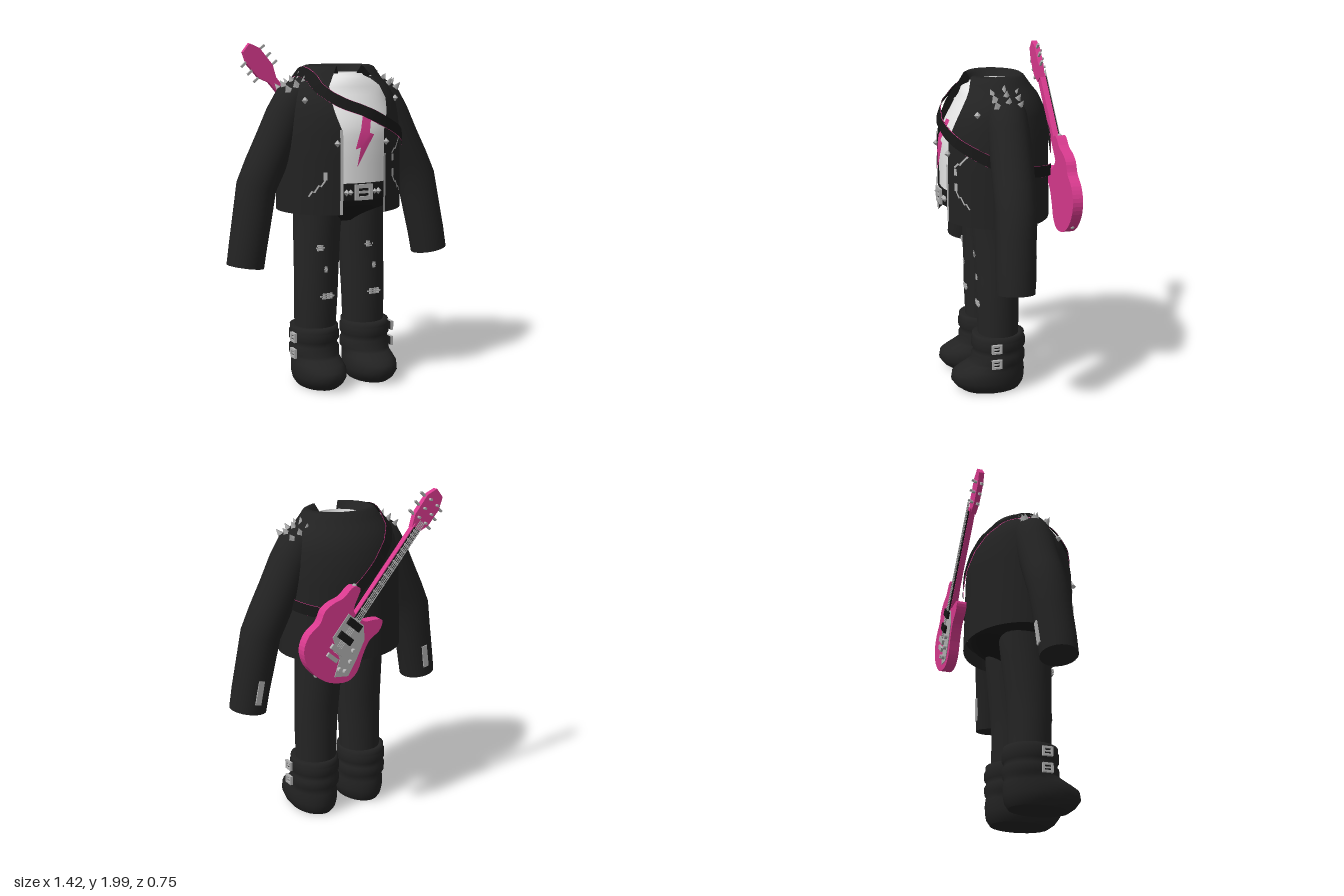
import * as THREE from 'three';

const mat = (name, color, side = THREE.FrontSide) => {
  const m = new THREE.MeshStandardMaterial({ color, side });
  m.name = name;
  return m;
};
const leather = mat('black leather', 0x222222, THREE.DoubleSide);
const denim = mat('black denim', 0x242424, THREE.DoubleSide);
const dark = mat('deep black', 0x171717, THREE.DoubleSide);
const white = mat('white cotton', 0xe4e4e4, THREE.DoubleSide);
const pink = mat('hot pink', 0xd83a8e, THREE.DoubleSide);
const silver = mat('silver', 0xb0b0b0, THREE.DoubleSide);

const V = (x, y, z) => new THREE.Vector3(x, y, z);

export function createModel() {
  const root = new THREE.Group();
  root.name = 'rockOutfit';

  const add = (name, geo, material, parent = root, x = 0, y = 0, z = 0) => {
    const m = new THREE.Mesh(geo, material);
    m.name = name;
    m.position.set(x, y, z);
    parent.add(m);
    return m;
  };
  const box = (name, material, parent, w, h, d, x, y, z) =>
    add(name, new THREE.BoxGeometry(w, h, d), material, parent, x, y, z);

  // Skin over rings of points; rings run upward, points counterclockwise from above
  function loft(rings, closed = true, caps = false) {
    const n = rings[0].length, pos = [], idx = [];
    rings.forEach(r => r.forEach(p => pos.push(p.x, p.y, p.z)));
    for (let i = 0; i < rings.length - 1; i++)
      for (let j = 0; j < (closed ? n : n - 1); j++) {
        const k = (j + 1) % n, a = i * n + j, b = i * n + k;
        idx.push(a, b, b + n, a, b + n, a + n);
      }
    if (caps) [rings[0], rings[rings.length - 1]].forEach((r, e) => {
      const s = pos.length / 3;
      const c = r.reduce((q, p) => q.add(p), V(0, 0, 0)).divideScalar(n);
      [...r, c].forEach(p => pos.push(p.x, p.y, p.z));
      for (let j = 0; j < n; j++) {
        const k = (j + 1) % n;
        idx.push(s + n, s + (e ? j : k), s + (e ? k : j));
      }
    });
    const g = new THREE.BufferGeometry();
    g.setAttribute('position', new THREE.Float32BufferAttribute(pos, 3));
    g.setIndex(idx);
    g.computeVertexNormals();
    return g;
  }
  const ring = (cx, y, cz, rx, rz, t0 = 0, t1 = Math.PI * 2, n = 36, full = true) =>
    Array.from({ length: full ? n : n + 1 }, (_, i) => {
      const t = t0 + (t1 - t0) * i / n;
      return V(cx + rx * Math.sin(t), y, cz + rz * Math.cos(t));
    });

  // Torso: y, half width, front z, back z, right and left edge of the front opening
  const torso = [
    [1.05, .375, .36, -.285, .125, .14], [1.25, .372, .362, -.282, .125, .14],
    [1.4, .368, .364, -.28, .125, .14], [1.53, .362, .36, -.278, .125, .145],
    [1.62, .352, .348, -.268, .155, .175], [1.7, .337, .318, -.247, .165, .185],
    [1.77, .298, .272, -.212, .155, .165], [1.81, .258, .24, -.178, .125, .135],
    [1.87, .217, .205, -.135, .09, .09]];
  function profile(y) {
    let i = 0;
    while (i < torso.length - 2 && y > torso[i + 1][0]) i++;
    const a = torso[i], b = torso[i + 1];
    const f = THREE.MathUtils.clamp((y - a[0]) / (b[0] - a[0]), 0, 1);
    const [, rx, zf, zb, l, r] = a.map((v, k) => v + (b[k] - v) * f);
    return { rx, rz: (zf - zb) / 2, cz: (zf + zb) / 2, l, r };
  }
  const onTorso = (t, y, off = 0) => {
    const p = profile(y);
    return V((p.rx + off) * Math.sin(t), y, p.cz + (p.rz + off) * Math.cos(t));
  };
  const angle = (x, y) => Math.asin(x / profile(y).rx);
  const front = (x, y, off) => onTorso(angle(x, y), y, off);

  // Flat band lying on the torso, through [angle, y] samples
  function band(name, samples, width, off, material) {
    const pts = samples.map(([t, y]) => onTorso(t, y, off));
    const rows = pts.map((p, i) => {
      const [t, y] = samples[i];
      const du = onTorso(t + .01, y, off).sub(onTorso(t - .01, y, off));
      const dv = onTorso(t, y + .01, off).sub(onTorso(t, y - .01, off));
      const tan = pts[Math.min(i + 1, pts.length - 1)].clone().sub(pts[Math.max(i - 1, 0)]);
      const side = du.cross(dv).cross(tan).normalize().multiplyScalar(width / 2);
      return [p.clone().sub(side), p.clone().add(side)];
    });
    return add(name, loft(rows, false), material);
  }
  const line = (name, pts, w, off, material) =>
    band(name, pts.map(([x, y]) => [angle(x, y), y]), w, off, material);

  // Jacket shell with an open front, then the collar turning inward
  const shell = [];
  for (let i = 0; i <= 24; i++) {
    const y = 1.05 + .82 * i / 24, p = profile(y);
    shell.push(ring(0, y, p.cz, p.rx, p.rz, Math.asin(p.r / p.rx), Math.PI * 2 - Math.asin(p.l / p.rx), 48, false));
  }
  [[1.88, .19, .155], [1.86, .168, .145], [1.832, .137, .132]].forEach(([y, rx, rz]) =>
    shell.push(ring(0, y, .035, rx, rz, .43, Math.PI * 2 - .43, 48, false)));
  add('jacket', loft(shell, false), leather);

  // Shirt with neck band, set further back under the lapels
  const shirtOff = y => -.012 - .036 * THREE.MathUtils.smoothstep(y, 1.5, 1.7);
  const shirt = [];
  for (let i = 0; i <= 14; i++) {
    const y = 1.16 + .6 * i / 14, p = profile(y);
    shirt.push(ring(0, y, p.cz, p.rx + shirtOff(y), p.rz + shirtOff(y)));
  }
  [[1.8, .19], [1.818, .15], [1.835, .136], [1.835, .126], [1.76, .126]].forEach(([y, r]) =>
    shirt.push(ring(0, y, .035, r, r - .004)));
  add('shirt', loft(shirt), white);

  // Lightning bolt on the shirt
  const bolt = new THREE.ShapeGeometry(new THREE.Shape([[.02, 1.63], [.075, 1.63], [.04, 1.51], [.068, 1.5],
    [-.04, 1.32], [-.018, 1.43], [-.05, 1.42], [-.015, 1.53]].map(p => new THREE.Vector2(...p))));
  const bp = bolt.attributes.position;
  for (let i = 0; i < bp.count; i++) {
    const y = bp.getY(i);
    bp.setZ(i, front(bp.getX(i), y, shirtOff(y) + .012).z);
  }
  bolt.computeVertexNormals();
  add('lightningBolt', bolt, pink);

  // Trousers
  add('hips', loft([[.98, .2, .1], [1.03, .265, .165], [1.1, .335, .27], [1.14, .352, .303], [1.2, .352, .303]]
    .map(([y, rx, rz]) => ring(0, y, .04, rx, rz)), true, true), dark);
  for (const s of [1, -1]) {
    const side = s > 0 ? 'left' : 'right';
    add(side + 'Leg', loft([[.3, .16, .122, .05, .12], [.55, .155, .13, .055, .125], [.7, .15, .132, .05, .133],
      [.9, .143, .136, .042, .148], [1.02, .138, .138, .042, .16], [1.1, .14, .14, .042, .16]]
      .map(([y, cx, rx, cz, rz]) => ring(s * cx, y, cz, rx, rz))), denim);

    // Torn knees
    const tearX = s > 0 ? [.13, .165, .168] : [-.185, -.15, -.14];
    [[.84, .052, .183], [.71, .026, .182], [.55, .088, .178]].forEach(([y, w, z], i) => {
      for (const k of [-1, 0, 1])
        box('tear', silver, root, w * (k ? .72 : 1), .01, .009, tearX[i], y + k * .012, z);
    });

    // Boots: y, half width, back z, front z
    add(side + 'Boot', loft([[.01, .115, -.075, .27], [.04, .138, -.095, .312], [.08, .15, -.103, .342],
      [.125, .148, -.105, .335], [.15, .142, -.102, .295], [.178, .136, -.097, .24],
      [.192, .146, -.106, .215], [.235, .146, -.108, .215],
      [.245, .136, -.098, .205], [.275, .136, -.098, .205], [.28, .146, -.108, .215], [.325, .146, -.108, .215],
      [.33, .139, -.1, .208], [.36, .141, -.102, .21], [.358, .12, -.08, .18]]
      .map(([y, rx, b, f]) => ring(s * .168, y, (b + f) / 2, rx, (f - b) / 2, 0, Math.PI * 2, 24)), true, true), leather);
    for (const y of [.305, .21]) {
      const b = buckle('bootBuckle', .062, .055, s * .313, y, .1);
      b.rotation.y = s * Math.PI / 2;
    }

    // Sleeves, from wrist to shoulder
    const path = [[.605, .75, .07, .108], [.585, .87, .066, .11], [.55, 1.05, .055, .113], [.522, 1.2, .045, .116],
      [.47, 1.31, .042, .118], [.4, 1.45, .038, .118], [.335, 1.59, .036, .117], [.285, 1.68, .036, .113],
      [.235, 1.715, .036, .1], [.17, 1.74, .036, .075]];
    const pts = path.map(p => V(s * p[0], p[1], p[2]));
    add(side + 'Sleeve', loft(pts.map((c, i) => {
      const T = pts[Math.min(i + 1, 9)].clone().sub(pts[Math.max(i - 1, 0)]).normalize();
      const X = T.clone().cross(V(0, 0, 1)).normalize(), Z = X.clone().cross(T), r = path[i][3];
      return ring(0, 0, 0, 1, 1, 0, Math.PI * 2, 24).map(q =>
        c.clone().addScaledVector(X, q.x * r).addScaledVector(Z, q.z * r));
    }), true, true), leather);
    const zip = box('cuffZip', silver, root, .036, .145, .009, s * .583, .88, -.046);
    zip.rotation.set(-.05, 0, s * .17);

    // Shoulder spikes
    [[.25, 1.825], [.302, 1.805], [.355, 1.778]].forEach(([x, y], i) => [-.03, .04, .11].forEach(z => {
      const edge = (z - .04) / .07;
      const c = add('shoulderSpike', new THREE.ConeGeometry(.023, .048, 4), silver, root,
        s * x, y - Math.abs(edge) * .02, z);
      c.quaternion.setFromUnitVectors(V(0, 1, 0), V(s * (.2 + i * .25), 1, edge * .5).normalize());
    }));

    // Front studs and pocket zips
    [[.28, 1.69], [.15, 1.455]].forEach(([x, y]) => {
      const st = add('stud', new THREE.OctahedronGeometry(.021), silver);
      st.position.copy(front(s * x, y, .008));
    });
    line('pocketZip', [[s * .21, 1.295], [s * .21, 1.25]], .024, .006, silver);
    line('pocketZip', [[.21, 1.25], [.23, 1.215], [.24, 1.22], [.26, 1.18], [.27, 1.185], [.285, 1.155]]
      .map(([x, y]) => [s * x, y]), .01, .006, silver);
    if (s > 0) {
      line('chestZip', [[.2, 1.385], [.225, 1.41], [.235, 1.405], [.26, 1.44], [.28, 1.465]], .011, .006, silver);
      line('chestZipPull', [[.208, 1.38], [.208, 1.34]], .022, .006, silver);
    }

    // Zip teeth along the opening
    const top = s > 0 ? 1.39 : 1.53, zx = s > 0 ? .141 : -.128;
    line('frontZip', [0, 1, 2, 3, 4].map(i => [zx, 1.055 + (top - 1.055) * i / 4]), .017, .006, silver);
  }

  // Square buckle: frame with hole, dark plate, pin
  function buckle(name, w, h, x, y, z) {
    const g = new THREE.Group();
    g.name = name;
    g.position.set(x, y, z);
    root.add(g);
    const rect = (C, k) => new C([[-1, -1], [1, -1], [1, 1], [-1, 1]].map(([a, b]) =>
      new THREE.Vector2(a * (w / 2 - k), b * (h / 2 - k))));
    const sh = rect(THREE.Shape, 0);
    sh.holes.push(rect(THREE.Path, w * .2));
    add('frame', new THREE.ExtrudeGeometry(sh, { depth: .016, bevelEnabled: false }), silver, g);
    box('plate', dark, g, w * .9, h * .9, .008, 0, 0, .002);
    box('pin', silver, g, w * .5, h * .16, .012, 0, 0, .007);
    return g;
  }

  // Belt
  add('belt', loft([[1.13, .36, .314], [1.135, .365, .32], [1.225, .365, .32], [1.23, .352, .3]]
    .map(([y, rx, rz]) => ring(0, y, .04, rx, rz))), dark);
  buckle('beltBuckle', .11, .09, 0, 1.178, .355);
  for (const x of [-.1, -.075, .075, .1])
    add('beltStud', new THREE.OctahedronGeometry(.02), silver, root, x, 1.178, .35);

  // Guitar strap around the torso with pink piping
  const strapPath = new THREE.CatmullRomCurve3([[-3.5, 1.42], [-3.1, 1.56], [-2.75, 1.68], [-2.3, 1.78], [-1.6, 1.845],
    [-1, 1.815], [-.62, 1.735], [-.3, 1.675], [0, 1.635], [.45, 1.56], [.95, 1.485], [1.57, 1.4], [2.2, 1.355], [2.7, 1.33]]
    .map(([t, y]) => V(t, y, 0))).getPoints(90).map(p => [p.x, p.y]);
  band('strapPiping', strapPath, .066, .013, pink);
  band('strapLining', strapPath, .066, .0115, dark);
  band('strap', strapPath, .063, .016, dark);

  // Guitar slung on the back, neck along local y, face along local z
  const guitar = new THREE.Group();
  guitar.name = 'guitar';
  guitar.position.set(.198, 1.25, -.327);
  guitar.rotation.set(0, Math.PI, -.71);
  root.add(guitar);
  const slab = (name, pts, depth, z, material, smooth) => {
    let p = pts.map(q => V(q[0], q[1], 0));
    if (smooth) p = new THREE.CatmullRomCurve3(p, true).getPoints(72);
    const sh = new THREE.Shape(p.map(q => new THREE.Vector2(q.x, q.y)));
    return add(name, new THREE.ExtrudeGeometry(sh, { depth, bevelEnabled: false }), material, guitar, 0, 0, z);
  };
  slab('guitarBody', [[0, -.285], [-.11, -.265], [-.18, -.21], [-.205, -.13], [-.19, -.04], [-.207, .03], [-.19, .09],
    [-.155, .15], [-.138, .235], [-.095, .25], [-.05, .13], [.05, .12], [.1, .16], [.15, .19], [.175, .14], [.155, .05],
    [.175, -.04], [.205, -.13], [.19, -.2], [.1, -.265]], .06, -.03, pink, true);
  slab('pickguard', [[-.07, .1], [.06, .1], [.12, .04], [.15, -.08], [.165, -.18], [.09, -.23], [.05, -.13], [-.07, -.06]],
    .004, .03, silver);
  box('neck', pink, guitar, .054, .66, .034, 0, .4, .013);
  box('fretboard', dark, guitar, .044, .64, .008, 0, .39, .033);
  for (let i = 0; i < 14; i++)
    box('fret', silver, guitar, .044, .009, .004, 0, .1 + .62 * (1 - Math.pow(.93, i)) / .64, .038);
  for (let i = 0; i < 4; i++) box('string', silver, guitar, .005, .88, .003, -.0165 + i * .011, .32, .041);
  slab('headstock', [[-.026, .7], [.026, .7], [.06, .77], [.062, .88], [.035, .95], [-.03, .962], [-.06, .9], [-.058, .77]],
    .032, -.01, pink);
  for (const y of [.77, .83, .89]) for (const s of [1, -1]) {
    box('tuner', silver, guitar, .045, .013, .013, s * .075, y, .003);
    add('peg', new THREE.CylinderGeometry(.008, .008, .02, 8), silver, guitar, s * .03, y, .03).rotation.x = Math.PI / 2;
  }
  for (const y of [.07, -.02]) box('pickup', dark, guitar, .1, .042, .02, 0, y, .038);
  box('bridge', silver, guitar, .1, .03, .018, 0, -.1, .038);
  box('tailpiece', silver, guitar, .08, .025, .014, 0, -.15, .036);
  [[.095, -.05], [.12, -.11], [.125, -.17], [.085, -.18]].forEach(([x, y]) => {
    add('knob', new THREE.CylinderGeometry(.013, .015, .02, 12), silver, guitar, x, y, .042).rotation.x = Math.PI / 2;
  });
  for (const [x, y] of [[-.12, .245], [0, -.28]])
    add('strapButton', new THREE.SphereGeometry(.014, 10, 8), silver, guitar, x, y, 0);

  return root;
}
